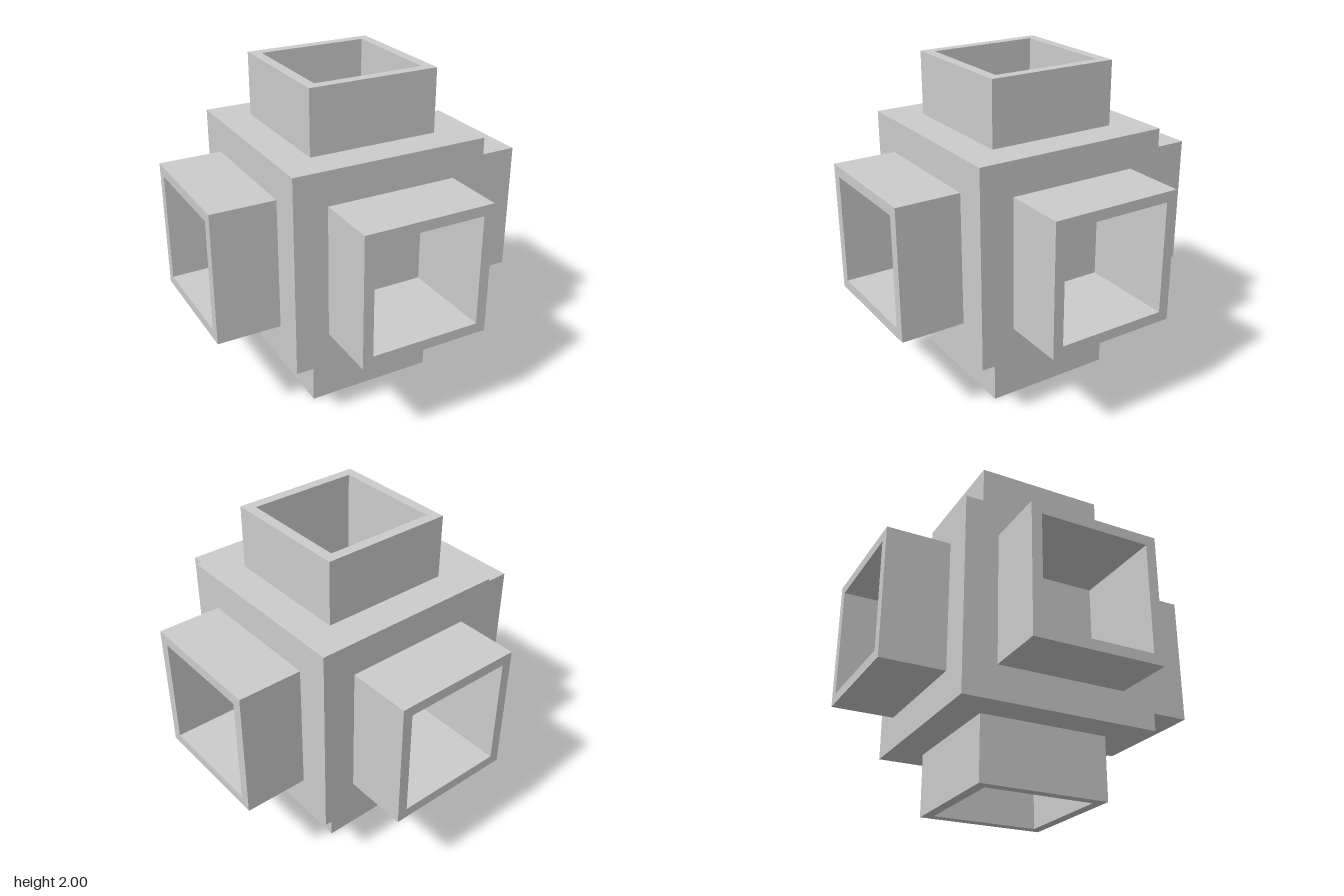
import * as THREE from 'three';

// Half-widths and distances from the centre
const BODY = 0.61, OUTER = 0.403, INNER = 0.34, END = 1, POCKET = 0.4;

// One side along +y: body face, square sleeve and the blind pocket inside it,
// swept as a four-sided lathe so every level is a square.
function sideGeometry() {
  const profile = [
    [BODY, BODY], [OUTER, BODY],    // body face around the sleeve
    [OUTER, END], [INNER, END],     // sleeve wall and rim
    [INNER, POCKET], [0, POCKET],   // pocket wall and floor
  ].map(([halfWidth, y]) => new THREE.Vector2(halfWidth * Math.SQRT2, y));
  const geometry = new THREE.LatheGeometry(profile, 4, Math.PI / 4).toNonIndexed();
  geometry.computeVertexNormals();
  return geometry;
}

export function createModel() {
  const model = new THREE.Group();
  model.name = 'sixWayConnector';
  const material = new THREE.MeshStandardMaterial({ color: 0xcccccc, flatShading: true });
  const geometry = sideGeometry();
  const q = Math.PI / 2;

  // The six sides close up into a cube with a sleeve on each face
  const sides = [
    ['topSocket', 0, 0], ['bottomSocket', Math.PI, 0],
    ['frontSocket', q, 0], ['backSocket', -q, 0],
    ['leftSocket', 0, -q], ['rightSocket', 0, q],
  ];
  for (const [name, rx, rz] of sides) {
    const side = new THREE.Mesh(geometry, material);
    side.name = name;
    side.rotation.set(rx, 0, rz);
    side.position.y = 1;
    model.add(side);
  }
  return model;
}
